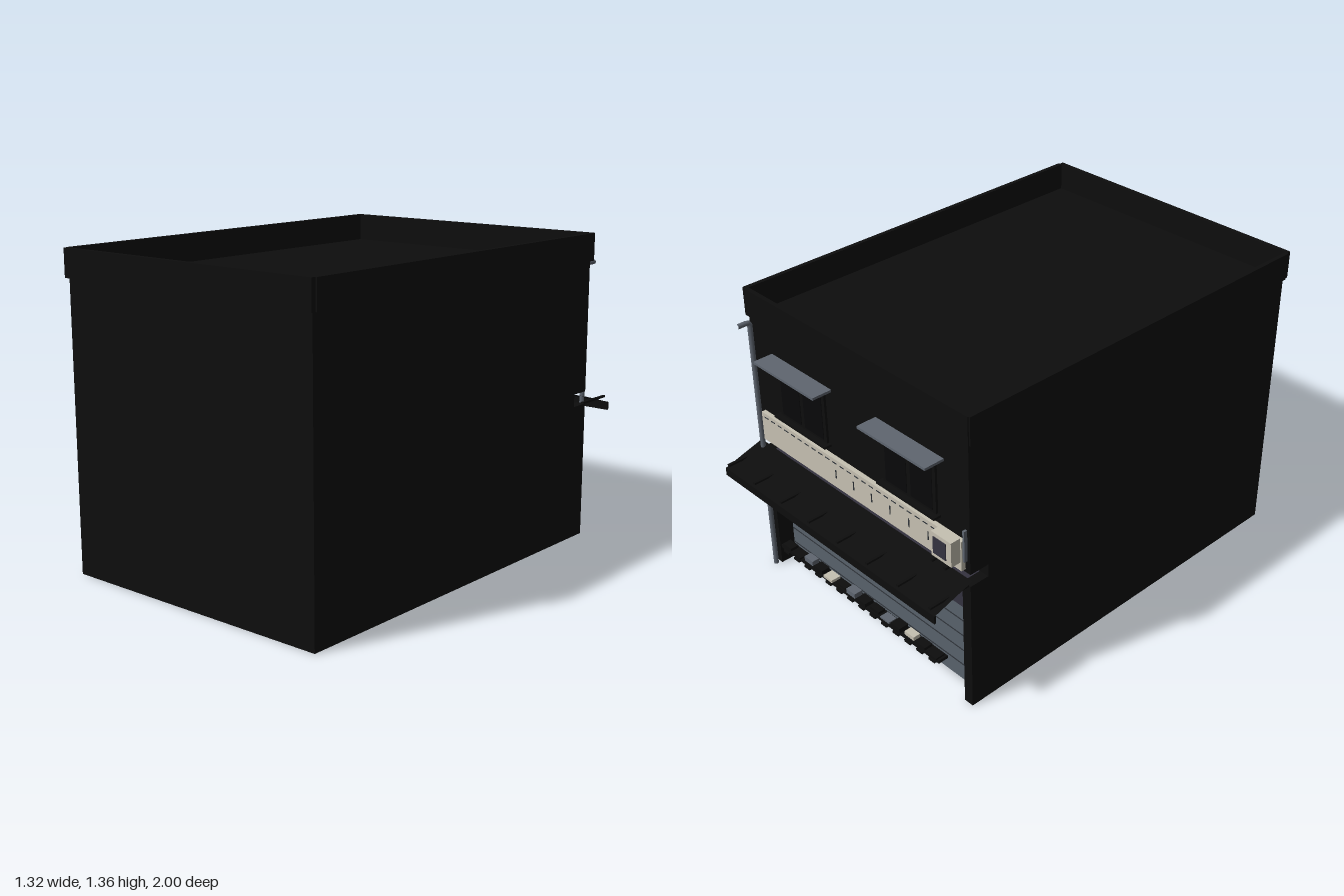
import * as THREE from 'three';

const paint = (name, color) => Object.assign(new THREE.MeshStandardMaterial({ color }), { name });

export function createModel() {
  const model = new THREE.Group();
  model.name = 'shopBuilding';
  const black = paint('black', 0x0d0d0d);
  const glass = paint('dark glass', 0x08080a);
  const steel = paint('steel grey', 0x5f6670);
  const slate = paint('shutter grey', 0x59626c);
  const groove = paint('groove grey', 0x30353b);
  const plum = paint('shutter box', 0x34323f);
  const cream = paint('cream', 0xc6c1b2);
  const white = paint('white', 0xf0efea);
  const sheetBlack = paint('canopy black', 0x0d0d0d);
  sheetBlack.side = THREE.DoubleSide;

  // Box given by its extents on each axis
  const box = (name, mat, x0, x1, y0, y1, z0, z1, parent = model) => {
    const m = new THREE.Mesh(new THREE.BoxGeometry(x1 - x0, y1 - y0, z1 - z0), mat);
    m.position.set((x0 + x1) / 2, (y0 + y1) / 2, (z0 + z1) / 2);
    m.name = name;
    parent.add(m);
    return m;
  };
  const group = (name) => {
    const g = new THREE.Group();
    g.name = name;
    model.add(g);
    return g;
  };

  // Building shell with a recessed shop front at the back
  box('upperFloor', black, -0.645, 0.645, 0.656, 1.235, -0.81, 0.985);
  box('groundFloor', black, -0.645, 0.645, 0, 0.656, -0.72, 0.985);
  for (const s of [-1, 1]) {
    box('pillar', black, s > 0 ? 0.6 : -0.645, s > 0 ? 0.645 : -0.6, 0, 0.6, -0.81, -0.72);
  }

  // Parapet boards around the flat roof
  const parapet = group('parapet');
  for (const s of [-1, 1]) {
    box('parapetSide', black, s * 0.6525 - 0.0095, s * 0.6525 + 0.0095, 1.235, 1.355, -0.815, 0.98, parapet);
  }
  box('parapetFront', black, -0.655, 0.655, 1.235, 1.355, 0.98, 1.0, parapet);
  box('parapetBack', black, -0.655, 0.655, 1.235, 1.355, -0.82, -0.8, parapet);

  // Roller shutter with slat grooves and its housing
  const shutter = group('shutter');
  box('shutterDoor', slate, -0.6, 0.6, 0, 0.46, -0.735, -0.72, shutter);
  for (let i = 1; i < 6; i++) {
    box('shutterGroove', groove, -0.6, 0.6, i * 0.077, i * 0.077 + 0.005, -0.737, -0.735, shutter);
  }
  box('shutterBox', plum, -0.6, 0.6, 0.45, 0.597, -0.79, -0.72, shutter);

  // Control box beside the shutter
  const control = group('controlBox');
  box('controlCase', white, 0.535, 0.59, 0.3, 0.38, -0.755, -0.735, control);
  box('controlPanel', glass, 0.547, 0.575, 0.33, 0.365, -0.758, -0.755, control);

  // Sloping canopy sheet, front lip and level arms
  const canopy = group('canopy');
  const run = 0.19, drop = 0.057;
  const sheet = new THREE.Mesh(new THREE.PlaneGeometry(1.31, Math.hypot(run, drop)), sheetBlack);
  sheet.name = 'canopySheet';
  sheet.rotation.x = Math.PI / 2 - Math.atan2(drop, run);
  sheet.position.set(0, 0.632 - drop / 2, -0.81 - run / 2);
  canopy.add(sheet);
  box('canopyLip', black, -0.655, 0.655, 0.54, 0.576, -1, -0.992, canopy);
  for (let i = 0; i < 8; i++) {
    const x = -0.63 + i * 0.18;
    box('canopyArm', black, x - 0.006, x + 0.006, 0.595, 0.604, -1, -0.81, canopy);
  }

  // Sign board with blank trim and ticks
  const sign = group('signBoard');
  box('signPanel', cream, -0.62, 0.6, 0.67, 0.805, -0.83, -0.81, sign);
  for (let i = 0; i < 24; i++) {
    const x = -0.48 + i * 0.045;
    box('signTrim', groove, x, x + 0.025, 0.785, 0.789, -0.832, -0.83, sign);
  }
  for (let i = 0; i < 6; i++) {
    const x = -0.44 + i * 0.11;
    box('signTick', groove, x, x + 0.005, 0.715, 0.755, -0.832, -0.83, sign);
  }

  // Upper windows, each with frame, panes, sill and hood
  for (const cx of [-0.325, 0.32]) {
    const w = group('window');
    box('windowFrame', black, cx - 0.15, cx + 0.15, 0.84, 1.08, -0.82, -0.81, w);
    for (const s of [-1, 1]) {
      box('windowPane', glass, cx + s * 0.072 - 0.06, cx + s * 0.072 + 0.06, 0.86, 1.065, -0.823, -0.82, w);
    }
    box('windowSill', black, cx - 0.165, cx + 0.165, 0.838, 0.848, -0.845, -0.81, w);
    box('windowHood', steel, cx - 0.19, cx + 0.19, 1.1, 1.111, -0.9, -0.81, w);
  }

  // Air conditioner on its bracket, with a riser pipe
  const cooler = group('airConditioner');
  box('coolerCase', cream, -0.62, -0.512, 0.715, 0.825, -0.88, -0.835, cooler);
  box('coolerGrille', plum, -0.593, -0.523, 0.732, 0.808, -0.883, -0.88, cooler);
  for (const x of [-0.6, -0.53]) {
    box('coolerBracket', black, x - 0.006, x + 0.006, 0.703, 0.714, -0.897, -0.81, cooler);
  }
  box('riserPipe', steel, -0.637, -0.627, 0.72, 0.86, -0.83, -0.815, cooler);

  // Downpipe with its bent top
  const pipe = new THREE.CurvePath();
  const p = (y, z) => new THREE.Vector3(0.617, y, z);
  pipe.add(new THREE.LineCurve3(p(0, -0.83), p(1.205, -0.83)));
  pipe.add(new THREE.QuadraticBezierCurve3(p(1.205, -0.83), p(1.22, -0.83), p(1.22, -0.845)));
  pipe.add(new THREE.LineCurve3(p(1.22, -0.845), p(1.22, -0.889)));
  const downpipe = new THREE.Mesh(new THREE.TubeGeometry(pipe, 120, 0.011, 8), steel);
  downpipe.name = 'downpipe';
  model.add(downpipe);

  // Row of goods on a narrow shelf
  const goods = group('goodsRow');
  box('shelf', black, -0.51, 0.51, 0.163, 0.177, -0.862, -0.815, goods);
  const tops = [black, black, cream, black, steel, black, black, steel, black, cream, black, steel, black, black];
  tops.forEach((mat, i) => {
    const x = -0.5 + i * 0.0725;
    const h = 0.185 + (i * 5 % 4) * 0.005;
    box('goods', mat, x, x + 0.055, 0.177, h, -0.868 + (i % 3) * 0.006, -0.822, goods);
    box('shelfFoot', black, x + 0.01, x + 0.045, 0.155, 0.165, -0.868, -0.835, goods);
  });
  return model;
}
